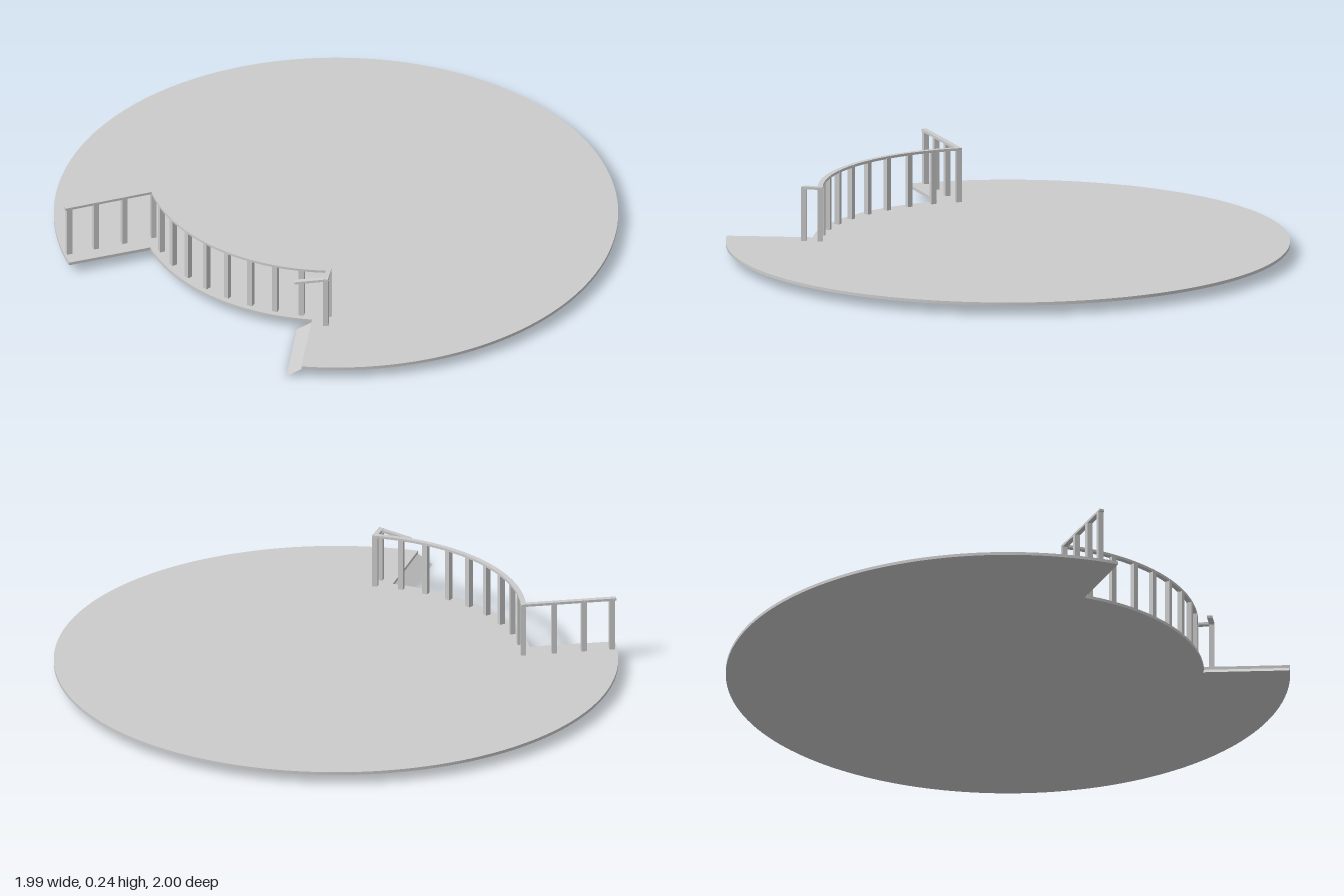
import * as THREE from 'three';
import { toCreasedNormals } from 'three/addons/utils/BufferGeometryUtils.js';

const CX = -0.005;              // disc centre in x
const DECK_BOTTOM = 0.035, DECK_TOP = 0.046;
const RAIL_TOP = 0.242, RAIL_W = 0.018, RAIL_H = 0.009;
const RAIL_R = 0.665, POST_W = 0.019;
const rad = THREE.MathUtils.degToRad;
const CUT_START = rad(-8.1), CUT_END = rad(56);     // notch, measured from -x toward +z
const RAIL_START = rad(-13.6), RAIL_END = rad(60.8);

const material = new THREE.MeshStandardMaterial({ color: 0xcccccc });
const sheetMaterial = new THREE.MeshStandardMaterial({ color: 0xcccccc, side: THREE.DoubleSide });

// Point at radius r and angle a around the disc centre
const polar = (r, a, y) => new THREE.Vector3(CX - r * Math.cos(a), y, r * Math.sin(a));

function add(group, name, geometry, mat = material) {
  const mesh = new THREE.Mesh(geometry, mat);
  mesh.name = name;
  group.add(mesh);
  return mesh;
}

// Extrude a plan shape upward from y
function slab(shape, y, height) {
  const g = new THREE.ExtrudeGeometry(shape, { depth: height, bevelEnabled: false, curveSegments: 96 });
  g.rotateX(-Math.PI / 2);
  g.translate(CX, y, 0);
  return toCreasedNormals(g, rad(30));
}

// Plan shape between two arcs
function ringSector(rIn, rOut, a0, a1, outerSpan0, outerSpan1) {
  const s = new THREE.Shape();
  s.absarc(0, 0, rOut, outerSpan0, outerSpan1, false);
  s.absarc(0, 0, rIn, a0, a1, a1 < a0);
  s.closePath();
  return s;
}

// Rectangular bar from a to b
function beam(group, name, a, b) {
  const g = new THREE.BoxGeometry(RAIL_W, RAIL_H, a.distanceTo(b) + RAIL_W);
  const mesh = add(group, name, g);
  mesh.position.copy(a).add(b).multiplyScalar(0.5);
  mesh.lookAt(b);
}

function post(group, p, angle) {
  const h = RAIL_TOP - RAIL_H / 2 - DECK_TOP;
  const mesh = add(group, 'railPost', new THREE.BoxGeometry(POST_W, h, POST_W));
  mesh.position.set(p.x, DECK_TOP + h / 2, p.z);
  mesh.rotation.y = angle;
}

export function createModel() {
  const model = new THREE.Group();
  model.name = 'roundPlatform';

  // Disc deck with a notch cut from its rim
  const deck = ringSector(0.695, 1, Math.PI + CUT_START, Math.PI + CUT_END,
    Math.PI + CUT_END, 3 * Math.PI + CUT_START);
  add(model, 'deck', slab(deck, DECK_BOTTOM, DECK_TOP - DECK_BOTTOM));

  // Thin sloping sheet from the deck edge down to the ground
  const inner = polar(0.695, CUT_END, DECK_BOTTOM), outer = polar(1, CUT_END, DECK_BOTTOM);
  const drop = new THREE.Vector3(-0.045, -DECK_BOTTOM, -0.03);
  const ramp = new THREE.BufferGeometry().setFromPoints(
    [inner, outer, outer.clone().add(drop), inner.clone().add(drop)]);
  ramp.setIndex([0, 2, 1, 0, 3, 2]);
  ramp.computeVertexNormals();
  add(model, 'ramp', ramp, sheetMaterial);

  // Railing: curved part along the notch
  const railing = new THREE.Group();
  railing.name = 'railing';
  model.add(railing);
  const a0 = Math.PI + RAIL_START, a1 = Math.PI + RAIL_END;
  const arc = ringSector(RAIL_R - RAIL_W / 2, RAIL_R + RAIL_W / 2, a1, a0, a0, a1);
  add(railing, 'curvedRail', slab(arc, RAIL_TOP - RAIL_H, RAIL_H));
  for (let i = 0; i <= 9; i++) {
    const a = THREE.MathUtils.lerp(RAIL_START, RAIL_END, i / 9);
    post(railing, polar(RAIL_R, a, 0), a);
  }

  // Straight part running out to the rim
  const y = RAIL_TOP - RAIL_H / 2;
  const corner = polar(RAIL_R, RAIL_START, y);
  const rim = new THREE.Vector3(-0.973, y, -0.198);
  beam(railing, 'straightRail', corner, rim);
  for (const t of [0.34, 0.67, 0.98]) {
    post(railing, corner.clone().lerp(rim, t), CUT_START);
  }

  // Short return beside the ramp with a sloping handle
  const end = polar(RAIL_R, RAIL_END, y);
  const turn = new THREE.Vector3(-0.364, y, 0.627);
  beam(railing, 'returnRail', end, turn);
  post(railing, turn, CUT_END);
  beam(railing, 'handle', turn, new THREE.Vector3(-0.448, 0.217, 0.568));

  return model;
}
